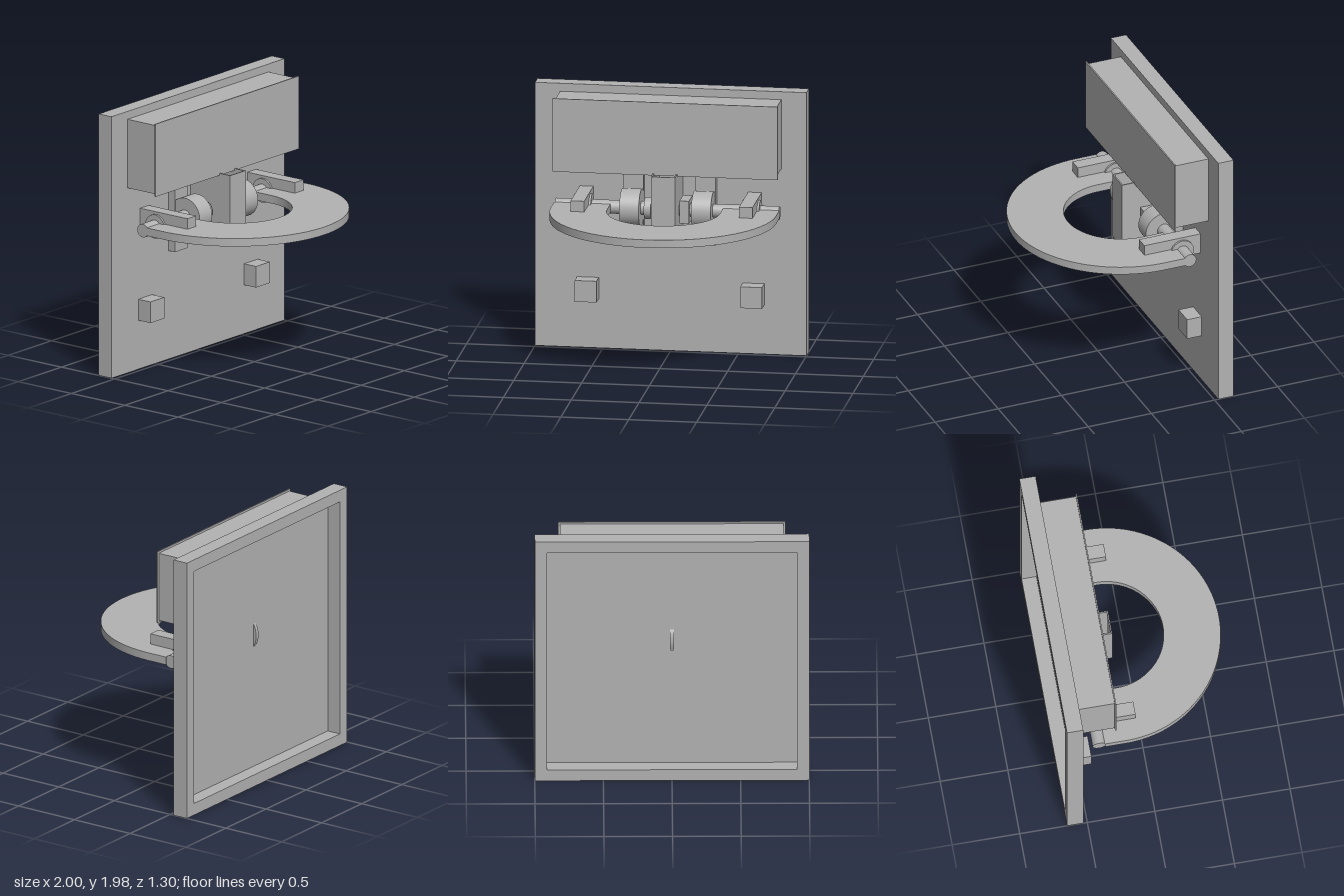
import * as THREE from 'three';

export function createModel() {
  const group = new THREE.Group();
  const grey = new THREE.MeshStandardMaterial({ color: 0xb2b2b2 });
  grey.name = 'plain grey';

  const add = (name, geometry) => {
    const mesh = new THREE.Mesh(geometry, grey);
    mesh.name = name;
    group.add(mesh);
    return mesh;
  };
  // box given by its limits on each axis
  const box = (name, x0, x1, y0, y1, z0, z1) => {
    const m = add(name, new THREE.BoxGeometry(x1 - x0, y1 - y0, z1 - z0));
    m.position.set((x0 + x1) / 2, (y0 + y1) / 2, (z0 + z1) / 2);
  };
  // cylinder lying along x on the common axle line
  const AXLE_Y = 1.105, AXLE_Z = -0.38;
  const disc = (name, x0, x1, r) => {
    const m = add(name, new THREE.CylinderGeometry(r, r, x1 - x0, 48).rotateZ(Math.PI / 2));
    m.position.set((x0 + x1) / 2, AXLE_Y, AXLE_Z);
  };
  const rectangle = (Type, x0, x1, y0, y1) => {
    const s = new Type();
    s.moveTo(x0, y0).lineTo(x1, y0).lineTo(x1, y1).lineTo(x0, y1).closePath();
    return s;
  };

  // back plate: thin panel with a deep rim open to the rear
  const rim = rectangle(THREE.Shape, -1, 1, 0, 1.98);
  rim.holes.push(rectangle(THREE.Path, -0.91, 0.91, 0.09, 1.89));
  add('plateRim', new THREE.ExtrudeGeometry(rim, { depth: 0.12, bevelEnabled: false }))
    .position.z = -0.65;
  box('platePanel', -0.91, 0.91, 0.09, 1.89, -0.54, -0.53);

  // upper housing and its front lid
  box('housing', -0.815, 0.815, 1.4, 1.92, -0.53, -0.265);
  box('housingLid', -0.83, 0.83, 1.385, 1.935, -0.265, -0.255);

  // horseshoe ring lying flat
  const R = 0.83, r = 0.415, tail = 0.16;
  const ring = new THREE.Shape();
  ring.moveTo(R, tail).lineTo(R, 0);
  ring.absarc(0, 0, R, 0, -Math.PI, true);
  ring.lineTo(-R, tail).lineTo(-r, tail).lineTo(-r, 0);
  ring.absarc(0, 0, r, -Math.PI, 0, false);
  ring.lineTo(r, tail).closePath();
  const ringGeometry = new THREE.ExtrudeGeometry(ring, {
    depth: 0.06, bevelEnabled: false, curveSegments: 48,
  }).rotateX(-Math.PI / 2);
  add('horseshoeRing', ringGeometry).position.set(0, 1.075, -0.18);

  // axle with central disc, small collar and square hub
  disc('axle', -0.825, 0.825, 0.05);
  disc('centralDisc', -0.015, 0.015, 0.183);
  disc('smallCollar', -0.165, -0.115, 0.08);
  box('squareHub', 0.1, 0.17, 1.02, 1.19, -0.465, -0.295);

  // open-topped case around the central disc
  const caseWalls = rectangle(THREE.Shape, -0.09, 0.09, 0.155, 0.53);
  caseWalls.holes.push(rectangle(THREE.Path, -0.08, 0.08, 0.165, 0.52));
  add('discCaseWalls', new THREE.ExtrudeGeometry(caseWalls, { depth: 0.52, bevelEnabled: false })
    .rotateX(-Math.PI / 2)).position.y = 0.88;
  box('discCaseFloor', -0.08, 0.08, 0.88, 0.89, -0.52, -0.165);

  // mirrored parts
  for (const s of [-1, 1]) {
    const span = (a, b) => (s > 0 ? [a, b] : [-b, -a]);
    disc('wheel', ...span(0.193, 0.337), 0.14);
    disc('barCollar', ...span(0.555, 0.685), 0.09);
    box('wheelPad', ...span(0.193, 0.34), 0.82, 1.39, -0.53, -0.47);
    box('clampBar', ...span(0.57, 0.67), 1.055, 1.215, -0.53, -0.085);
    box('stopBlock', ...span(0.53, 0.69), 0.37, 0.53, -0.53, -0.415);
  }
  return group;
}
